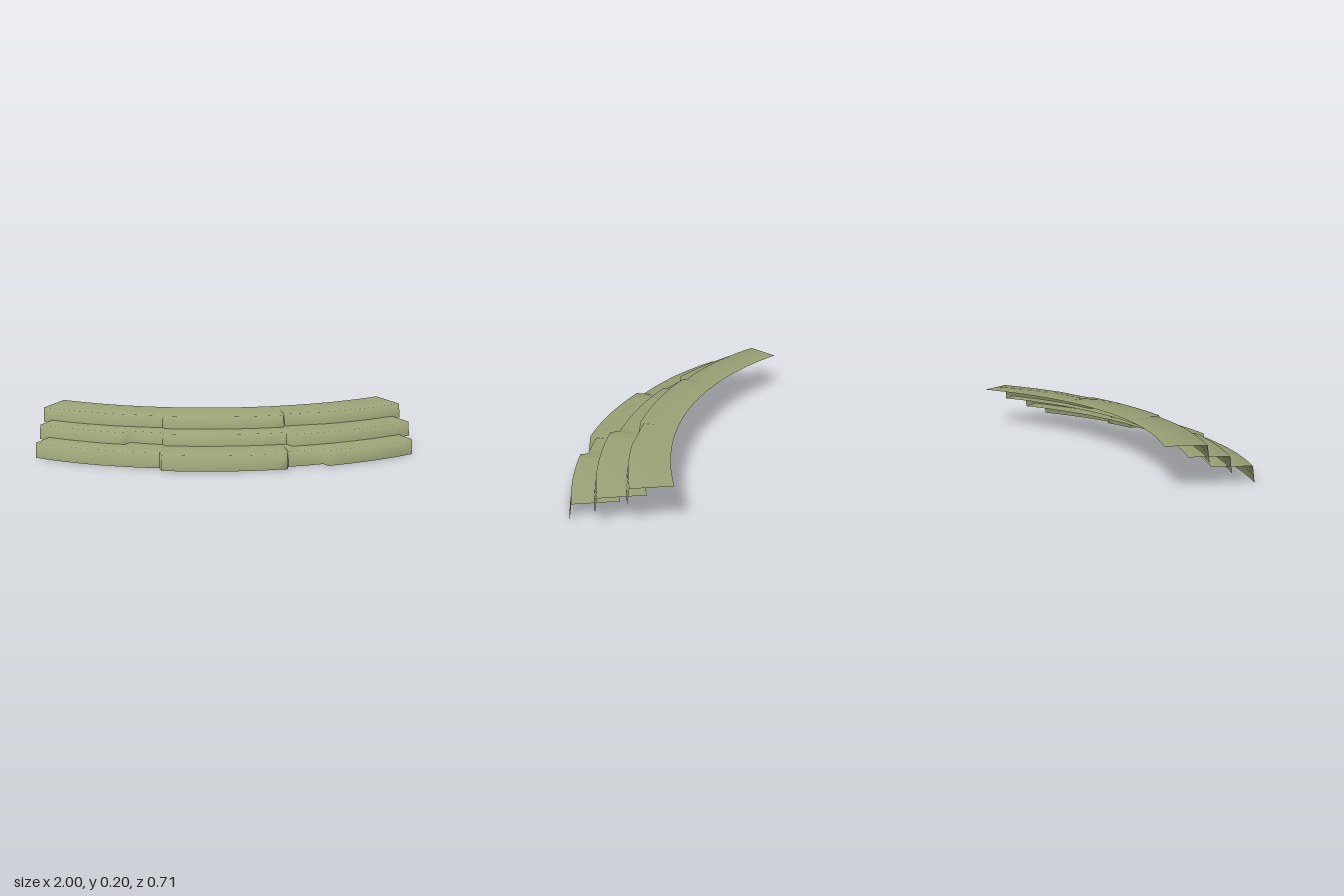
import * as THREE from 'three';

const CX = -0.015;      // x of the shared arc centre
const BACK_R = 1.93;    // radius of the rear edge of every tread

// Each section lists [x, front radius] points; sharp changes are the jogs in the riser.
const STEPS = [
  {
    name: 'lowerStep', y: 0, top: 0.079, cz: -1.805,
    sections: {
      rightSection: [[-0.997, 2.127], [-0.7, 2.127], [-0.345, 2.116]],
      middleSection: [[-0.345, 2.116], [-0.336, 2.157], [0, 2.157], [0.298, 2.157], [0.306, 2.12]],
      leftSection: [[0.306, 2.12], [0.489, 2.119], [0.51, 2.155], [0.986, 2.154]],
    },
  },
  {
    name: 'middleStep', y: 0.064, top: 0.14, cz: -1.935,
    sections: {
      rightSection: [[-0.992, 2.124], [-0.527, 2.125], [-0.505, 2.083], [-0.334, 2.095]],
      middleSection: [[-0.334, 2.095], [-0.32, 2.115], [0, 2.115], [0.31, 2.117]],
      leftSection: [[0.31, 2.117], [0.338, 2.16], [0.997, 2.158]],
    },
  },
  {
    name: 'upperStep', y: 0.127, top: 0.204, cz: -2.065,
    sections: {
      rightSection: [[-0.987, 2.127], [-0.6, 2.125], [-0.335, 2.116]],
      middleSection: [[-0.335, 2.116], [-0.325, 2.135], [0, 2.135], [0.305, 2.135], [0.312, 2.115]],
      leftSection: [[0.312, 2.115], [0.45, 2.118], [0.56, 2.13], [0.976, 2.134]],
    },
  },
];

// Subdivide a front line in polar form so that it follows the arc
function sampleArc(points) {
  const polar = points.map(([x, r]) => [Math.asin((x - CX) / r), r]);
  const out = [polar[0]];
  for (let i = 1; i < polar.length; i++) {
    const [a0, r0] = polar[i - 1];
    const [a1, r1] = polar[i];
    const n = Math.max(1, Math.ceil((a1 - a0) / 0.03));
    for (let k = 1; k <= n; k++) {
      const t = k / n;
      out.push([a0 + (a1 - a0) * t, r0 + (r1 - r0) * t]);
    }
  }
  return out;
}

// Open shell: a flat tread with a slightly raked riser below its front edge
function sectionGeometry(points, y, top, cz) {
  const pos = [];
  const idx = [];
  const columns = sampleArc(points);
  columns.forEach(([a, r], i) => {
    for (const [rad, h] of [[BACK_R, top], [r - 0.008, top], [r + 0.002, y]]) {
      pos.push(CX + Math.sin(a) * rad, h, cz + Math.cos(a) * rad);
    }
    if (i === 0) return;
    for (let row = 0; row < 2; row++) {
      const p = (i - 1) * 3 + row;
      const q = i * 3 + row;
      idx.push(p, p + 1, q, q, p + 1, q + 1);
    }
  });
  const geo = new THREE.BufferGeometry();
  geo.setAttribute('position', new THREE.Float32BufferAttribute(pos, 3));
  geo.setIndex(idx);
  geo.computeVertexNormals();
  return geo;
}

export function createModel() {
  const model = new THREE.Group();
  model.name = 'curvedSteps';
  const olive = new THREE.MeshStandardMaterial({ color: 0x9ca377, side: THREE.DoubleSide });
  olive.name = 'olive stone';

  for (const { name, y, top, cz, sections } of STEPS) {
    const step = new THREE.Group();
    step.name = name;
    for (const [part, points] of Object.entries(sections)) {
      const mesh = new THREE.Mesh(sectionGeometry(points, y, top, cz), olive);
      mesh.name = part;
      step.add(mesh);
    }
    model.add(step);
  }
  return model;
}
